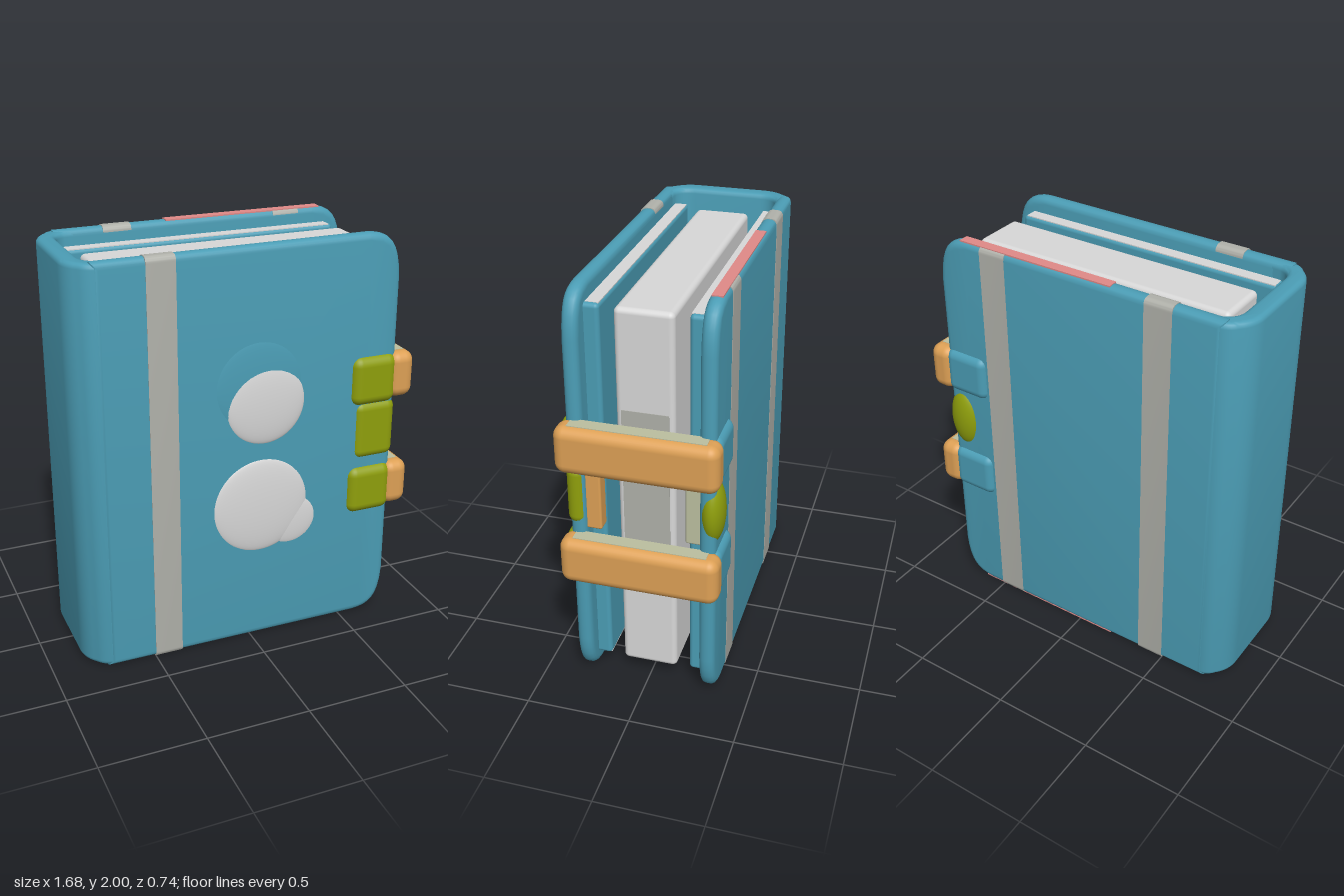
import * as THREE from 'three';
import { toCreasedNormals } from 'three/addons/utils/BufferGeometryUtils.js';
import { RoundedBoxGeometry } from 'three/addons/geometries/RoundedBoxGeometry.js';

const material = (name, color) => {
  const m = new THREE.MeshStandardMaterial({ color });
  m.name = name;
  return m;
};

export function createModel() {
  const book = new THREE.Group();
  book.name = 'claspedBook';
  const blue = material('coverBlue', 0x4b9db5);
  const white = material('paperWhite', 0xd8d8d8);
  const grey = material('stripeGrey', 0xb0b1aa);
  const orange = material('claspOrange', 0xdda055);
  const olive = material('olive', 0x8f9f0c);
  const beige = material('beige', 0xbcbfa0);
  const pink = material('edgePink', 0xe08a88);

  const add = (name, geometry, mat, x = 0, y = 0, z = 0) => {
    const mesh = new THREE.Mesh(geometry, mat);
    mesh.name = name;
    mesh.position.set(x, y, z);
    book.add(mesh);
    return mesh;
  };
  // box given by its limits; r rounds its edges
  const block = (name, mat, [x0, x1], [y0, y1], [z0, z1], r = 0) => {
    const size = [x1 - x0, y1 - y0, z1 - z0];
    const geo = r ? new RoundedBoxGeometry(...size, 4, r) : new THREE.BoxGeometry(...size);
    return add(name, geo, mat, (x0 + x1) / 2, (y0 + y1) / 2, (z0 + z1) / 2);
  };
  const dome = (name, mat, x, y, z, rx, ry, rz) =>
    add(name, new THREE.SphereGeometry(1, 40, 24), mat, x, y, z).scale.set(rx, ry, rz);
  const extrude = (shape, depth, bevel) => toCreasedNormals(new THREE.ExtrudeGeometry(shape, {
    depth: depth - 2 * bevel, bevelEnabled: bevel > 0, bevelSize: bevel, bevelThickness: bevel,
    bevelOffset: -bevel, bevelSegments: 4, curveSegments: 8,
  }).translate(0, 0, bevel), 0.8);

  // Cover boards: rounded corners on the opening side
  const outline = new THREE.Shape();
  outline.moveTo(-0.74, 0.005);
  outline.lineTo(0.58, 0);
  outline.bezierCurveTo(0.69, 0.005, 0.74, 0.05, 0.75, 0.22);
  outline.lineTo(0.75, 1.78);
  outline.bezierCurveTo(0.74, 1.95, 0.69, 1.995, 0.58, 2);
  outline.lineTo(-0.74, 1.995);
  outline.closePath();
  add('frontBoard', extrude(outline, 0.075, 0.032), blue, 0, 0, 0.262);
  add('backBoard', extrude(outline, 0.075, 0.032), blue, 0, 0, -0.337);

  // Spine: C-shaped section run up the height
  const section = new THREE.Shape();
  section.moveTo(-0.6, 0.335);
  section.lineTo(-0.7, 0.335);
  section.quadraticCurveTo(-0.76, 0.335, -0.79, 0.29);
  section.quadraticCurveTo(-0.84, 0.24, -0.84, 0.17);
  section.lineTo(-0.84, -0.17);
  section.quadraticCurveTo(-0.84, -0.24, -0.79, -0.29);
  section.quadraticCurveTo(-0.76, -0.335, -0.7, -0.335);
  section.lineTo(-0.6, -0.335);
  section.lineTo(-0.6, -0.265);
  section.lineTo(-0.69, -0.26);
  section.quadraticCurveTo(-0.75, -0.24, -0.75, -0.17);
  section.lineTo(-0.75, 0.17);
  section.quadraticCurveTo(-0.75, 0.24, -0.69, 0.26);
  section.lineTo(-0.6, 0.265);
  section.closePath();
  add('spine', extrude(section, 1.98, 0.025).rotateX(-Math.PI / 2), blue, 0, 0.01, 0);

  // Page block and inner linings with white top and bottom edges
  block('pages', white, [-0.66, 0.67], [0.08, 1.92], [-0.135, 0.13], 0.025);
  block('pageShade', grey, [0.667, 0.673], [0.62, 1.45], [-0.11, 0.105]);
  for (const s of [-1, 1]) {
    const z = s > 0 ? [0.195, 0.28] : [-0.28, -0.195];
    block('lining', blue, [-0.72, 0.66], [0.08, 1.92], z, 0.02);
    for (const y of [0.078, 1.917])
      block('liningEdge', white, [-0.7, 0.64], [y, y + 0.005], s > 0 ? [0.2, 0.26] : [-0.26, -0.2]);
    block('boardEdgePatch', s > 0 ? orange : beige, [0.655, 0.725], [0.85, 1.17],
      s > 0 ? [0.195, 0.27] : [-0.27, -0.195], 0.01);
  }

  // Stripes wrapped over the board edges
  const band = new THREE.Shape();
  const h = 0.999, t = 0.038, r = 0.03;
  band.moveTo(-t, -h + r);
  band.quadraticCurveTo(-t, -h, -t + r, -h);
  band.lineTo(t - r, -h);
  band.quadraticCurveTo(t, -h, t, -h + r);
  band.lineTo(t, h - r);
  band.quadraticCurveTo(t, h, t - r, h);
  band.lineTo(-t + r, h);
  band.quadraticCurveTo(-t, h, -t, h - r);
  const stripe = extrude(band, 0.137, 0).rotateY(Math.PI / 2);
  add('frontStripe', stripe, grey, -0.503, 1, 0.301);
  add('backStripe', stripe, grey, -0.503, 1, -0.301);
  add('backStripe', stripe, grey, 0.365, 1, -0.301);

  // Pink edging on the back board
  for (const y of [0, 1.993])
    block('pinkEdge', pink, [-0.19, 0.62], [y, y + 0.007], [-0.325, -0.275]);

  // Raised round ornaments on the front
  dome('upperHalo', blue, 0.03, 1.34, 0.33, 0.23, 0.23, 0.018);
  dome('upperDisc', white, 0.065, 1.245, 0.332, 0.2, 0.2, 0.027);
  dome('lowerHalo', blue, 0.05, 0.7, 0.325, 0.29, 0.27, 0.014);
  dome('lowerDisc', white, 0.045, 0.725, 0.332, 0.245, 0.245, 0.027);
  dome('lowerDiscLobe', white, 0.2, 0.62, 0.332, 0.14, 0.13, 0.016);

  // Clasps bridging the two boards
  for (const [y0, y1] of [[1.18, 1.41], [0.605, 0.835]]) {
    block('clasp', orange, [0.71, 0.84], [y0, y1], [-0.37, 0.37], 0.05);
    block('claspTop', beige, [0.735, 0.8], [y1 - 0.005, y1 + 0.002], [-0.31, 0.31]);
    block('claspInside', beige, [0.708, 0.714], [y0 + 0.04, y1 - 0.04], [-0.3, 0.3]);
    block('frontClaspTab', olive, [0.51, 0.75], [y0 - 0.02, y1], [0.265, 0.366], 0.05);
    block('backClaspTab', blue, [0.51, 0.75], [y0, y1], [-0.362, -0.265], 0.045);
  }
  block('frontLatch', olive, [0.535, 0.757], [0.875, 1.175], [0.262, 0.352], 0.045);
  dome('backLatch', olive, 0.68, 1.02, -0.312, 0.085, 0.16, 0.055);

  return book;
}
